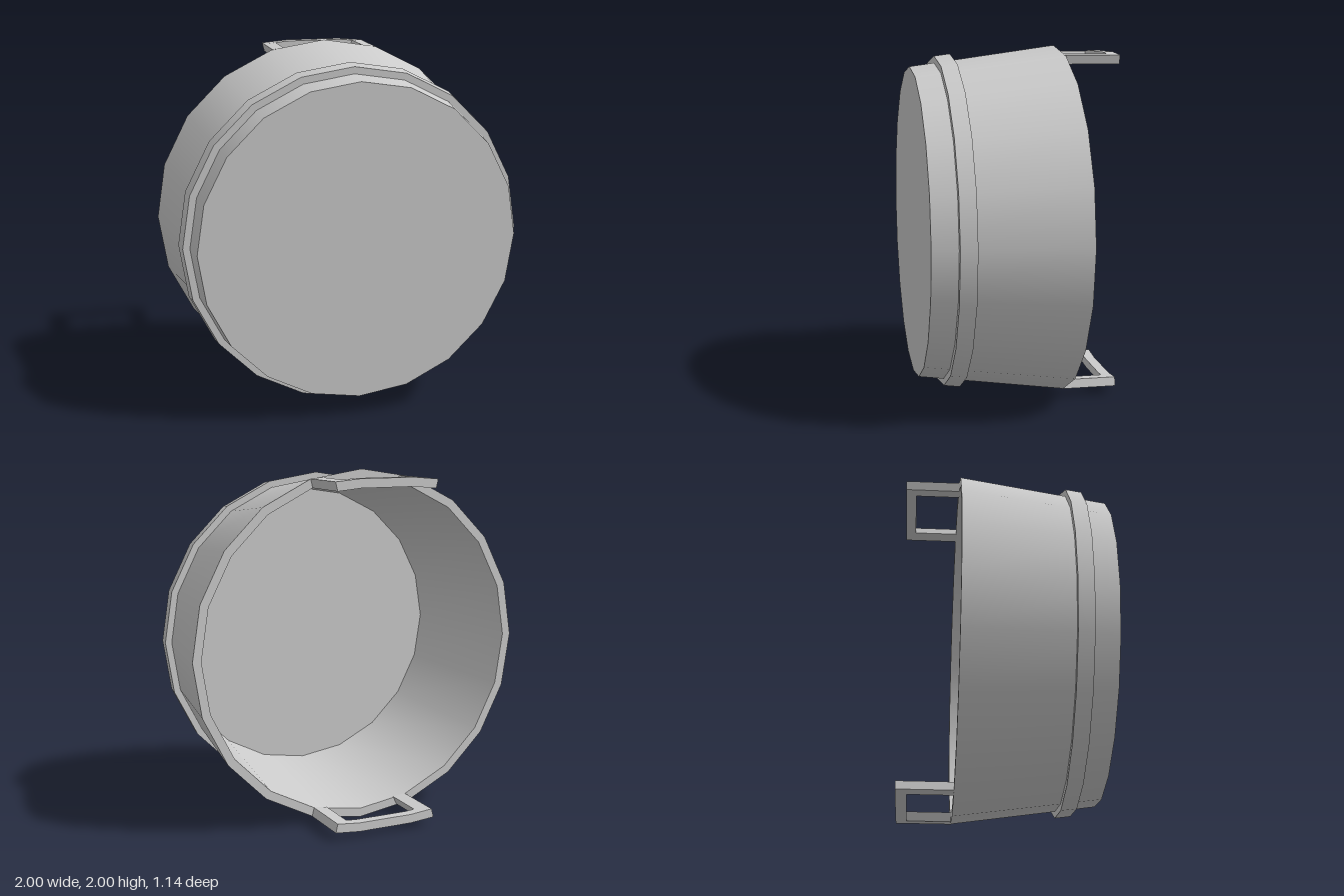
import * as THREE from 'three';
import { mergeGeometries } from 'three/addons/utils/BufferGeometryUtils.js';

const SIDES = 20;
const grey = new THREE.MeshStandardMaterial({ color: 0xcccccc });

// Revolve a [radius, z] profile about z: smooth around, sharp at every profile corner
function revolve(name, profile) {
  const strips = [];
  for (let i = 0; i < profile.length - 1; i++) {
    const pair = [profile[i], profile[i + 1]].map(([r, z]) => new THREE.Vector2(r, z));
    strips.push(new THREE.LatheGeometry(pair, SIDES));
  }
  const mesh = new THREE.Mesh(mergeGeometries(strips).rotateX(Math.PI / 2), grey);
  mesh.name = name;
  return mesh;
}

// Extrude an x/y outline from z0 to z1
function slab(name, outline, z0, z1) {
  const shape = new THREE.Shape(outline.map(([x, y]) => new THREE.Vector2(x, y)));
  const geo = new THREE.ExtrudeGeometry(shape, { depth: z1 - z0, bevelEnabled: false });
  const mesh = new THREE.Mesh(geo.translate(0, 0, z0), grey);
  mesh.name = name;
  return mesh;
}

// Square loop handle, its crossbar slightly arched like the rim
function createHandle(name) {
  const handle = new THREE.Group();
  handle.name = name;
  handle.add(slab('handleBar', [
    [-0.295, 0.903], [-0.16, 0.916], [0.16, 0.916], [0.295, 0.903],
    [0.307, 0.953], [0.16, 0.966], [-0.16, 0.966], [-0.307, 0.953],
  ], -0.57, -0.51));
  for (const s of [-1, 1]) {
    const leg = [[0.215, 0.911], [0.295, 0.903], [0.307, 0.953], [0.237, 0.959]];
    handle.add(slab('handleLeg', leg.map(([x, y]) => [s * x, y]), -0.51, -0.255));
  }
  return handle;
}

export function createModel() {
  const model = new THREE.Group();
  model.name = 'tub';

  // Tapered tub: inner floor, inner wall, rim, outer wall, closed base
  model.add(revolve('tubBody', [
    [0, 0.555], [0.85, 0.555], [0.95, -0.26], [1, -0.26], [0.885, 0.57], [0, 0.57],
  ]));

  // Hoop around the wall
  model.add(revolve('hoop', [[0.9, 0.34], [0.955, 0.34], [0.943, 0.43], [0.89, 0.43]]));

  // Opposite pair of handles
  const upper = createHandle('upperHandle');
  const lower = createHandle('lowerHandle');
  lower.rotation.z = Math.PI;
  model.add(upper, lower);

  // Axis sits one radius above the ground
  model.children.forEach((part) => { part.position.y = 1; });
  return model;
}
